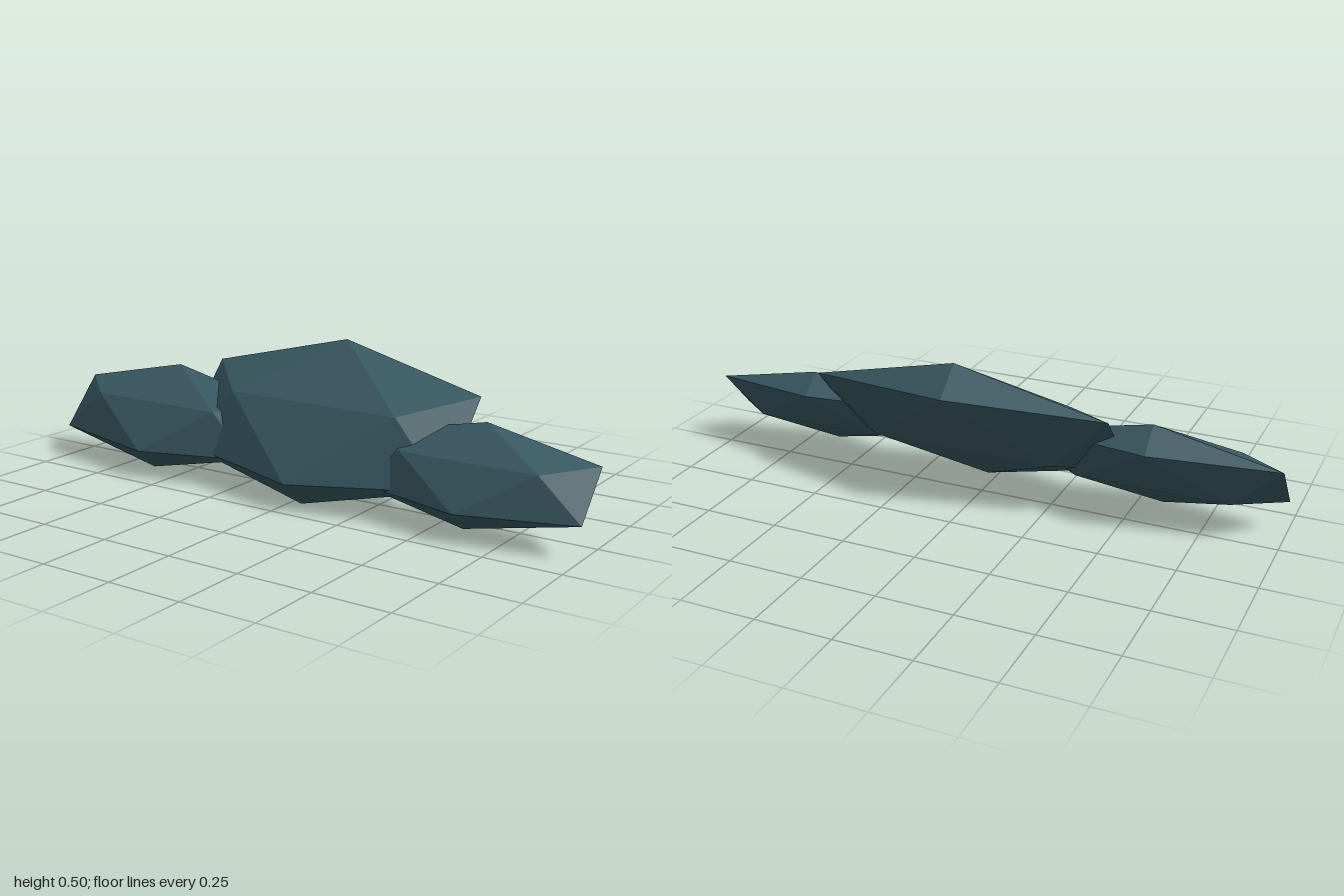
import * as THREE from 'three';

export function createModel() {
  const model = new THREE.Group();
  model.name = 'rockCluster';

  const slate = new THREE.MeshStandardMaterial({ color: 0x3a5a63, flatShading: true });
  slate.name = 'slate';

  // Flattened icosahedral stone, pitched forward about x
  const tilt = 0.84;
  function addStone(name, position, scale) {
    const stone = new THREE.Mesh(new THREE.IcosahedronGeometry(1, 0), slate);
    stone.name = name;
    stone.position.set(...position);
    stone.scale.set(...scale);
    stone.rotation.x = tilt;
    model.add(stone);
  }

  // Large middle stone with a smaller one overlapping on each side
  addStone('centreStone', [0.037, 0.251, 0], [0.6, 0.127, 0.323]);
  addStone('rightStone', [-0.59, 0.191, 0.052], [0.482, 0.105, 0.208]);
  addStone('leftStone', [0.625, 0.18, 0.063], [0.441, 0.092, 0.186]);

  return model;
}
